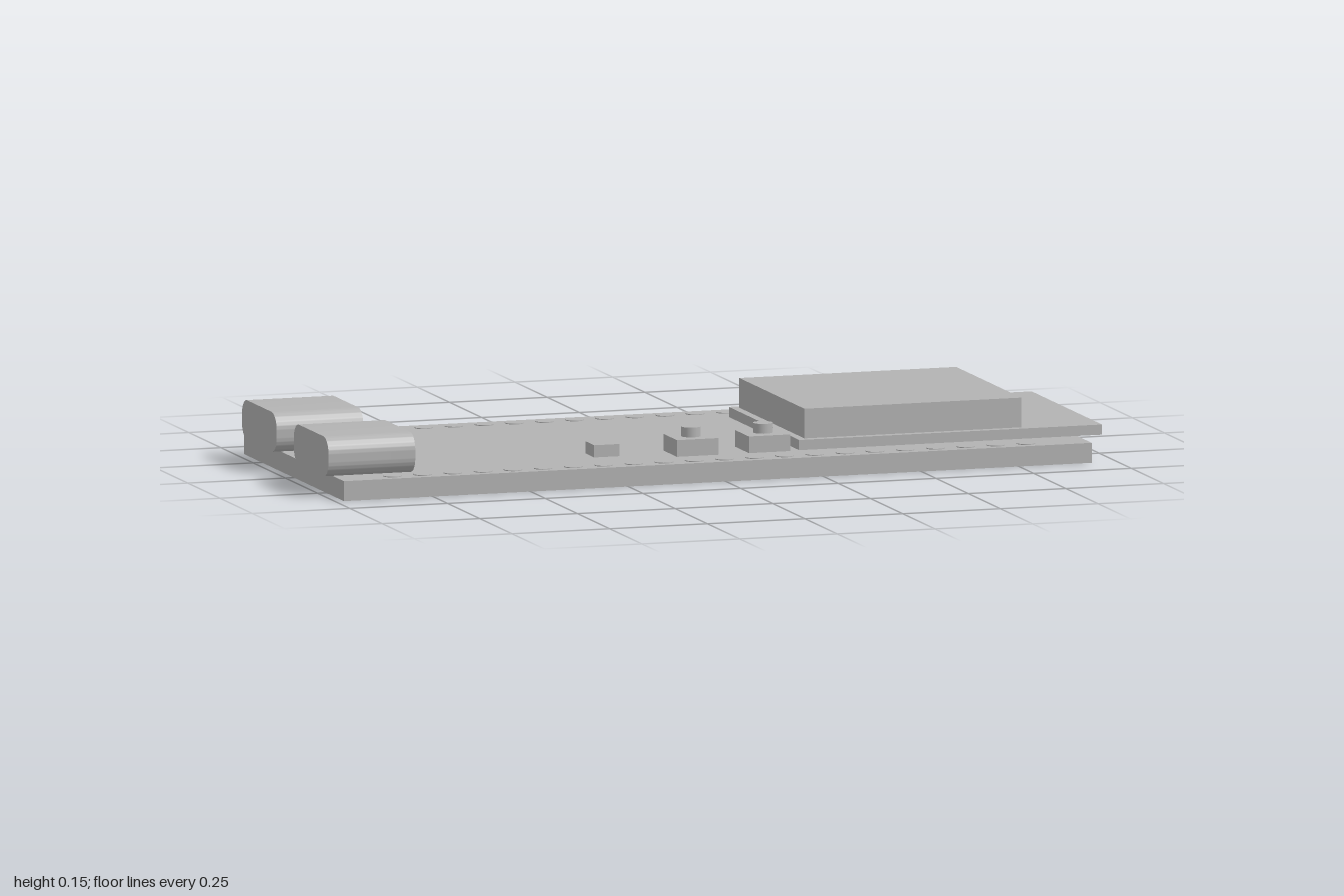
import * as THREE from 'three';
import { toCreasedNormals } from 'three/addons/utils/BufferGeometryUtils.js';

const grey = new THREE.MeshStandardMaterial({ color: 0xb3b3b3 });
grey.name = 'plain grey';

export function createModel() {
  const model = new THREE.Group();
  model.name = 'microcontrollerBoard';
  const TOP = 0.049; // upper face of the circuit board

  const add = (name, geometry, x, y, z, parent = model) => {
    const mesh = new THREE.Mesh(geometry, grey);
    mesh.name = name;
    mesh.position.set(x, y, z);
    parent.add(mesh);
    return mesh;
  };

  // box given by its limits on each axis
  const box = (name, [x0, x1], [y0, y1], [z0, z1], parent) =>
    add(name, new THREE.BoxGeometry(x1 - x0, y1 - y0, z1 - z0),
      (x0 + x1) / 2, (y0 + y1) / 2, (z0 + z1) / 2, parent);

  box('circuitBoard', [-0.978, 0.936], [0, TOP], [-0.387, 0.387]);

  // radio module: carrier overhanging the board edge, with a shield can
  box('radioCarrier', [0.225, 1], [TOP, 0.074], [-0.273, 0.273]);
  box('radioShield', [0.245, 0.8], [0.074, 0.147], [-0.253, 0.253]);

  // rounded connector shells along the left edge
  const w = 0.135, h = 0.049, r = 0.04;
  const profile = new THREE.Shape();
  profile.absarc(w - r, h - r, r, 0, Math.PI / 2);
  profile.absarc(-w + r, h - r, r, Math.PI / 2, Math.PI);
  profile.absarc(-w + r, -h + r, r, Math.PI, Math.PI * 1.5);
  profile.absarc(w - r, -h + r, r, Math.PI * 1.5, Math.PI * 2);
  const shell = toCreasedNormals(
    new THREE.ExtrudeGeometry(profile, { depth: 0.222, bevelEnabled: false, curveSegments: 10 }), 0.6);
  shell.rotateY(Math.PI / 2);
  add('backConnector', shell, -1, TOP + h, -0.202);
  add('frontConnector', shell, -1, TOP + h, 0.2);

  // push buttons: square body with a round plunger
  for (const x of [-0.037, 0.147]) {
    const button = new THREE.Group();
    button.name = 'pushButton';
    model.add(button);
    box('buttonBody', [x - 0.053, x + 0.053], [TOP, 0.09], [0.173, 0.279], button);
    add('buttonPlunger', new THREE.CylinderGeometry(0.024, 0.024, 0.024, 24), x, 0.102, 0.226, button);
  }

  box('statusLight', [-0.284, -0.219], [TOP, 0.079], [0.159, 0.225]);

  // solder pads in two rows
  const pad = new THREE.CylinderGeometry(0.023, 0.023, 0.003, 16);
  for (const side of [-1, 1]) {
    const row = new THREE.Group();
    row.name = side > 0 ? 'frontPadRow' : 'backPadRow';
    model.add(row);
    for (let i = 0; i < 22; i++) {
      add('solderPad', pad, -0.03 + (i - 10.5) * 0.0772, TOP + 0.0005, side * 0.347, row);
    }
  }
  return model;
}
